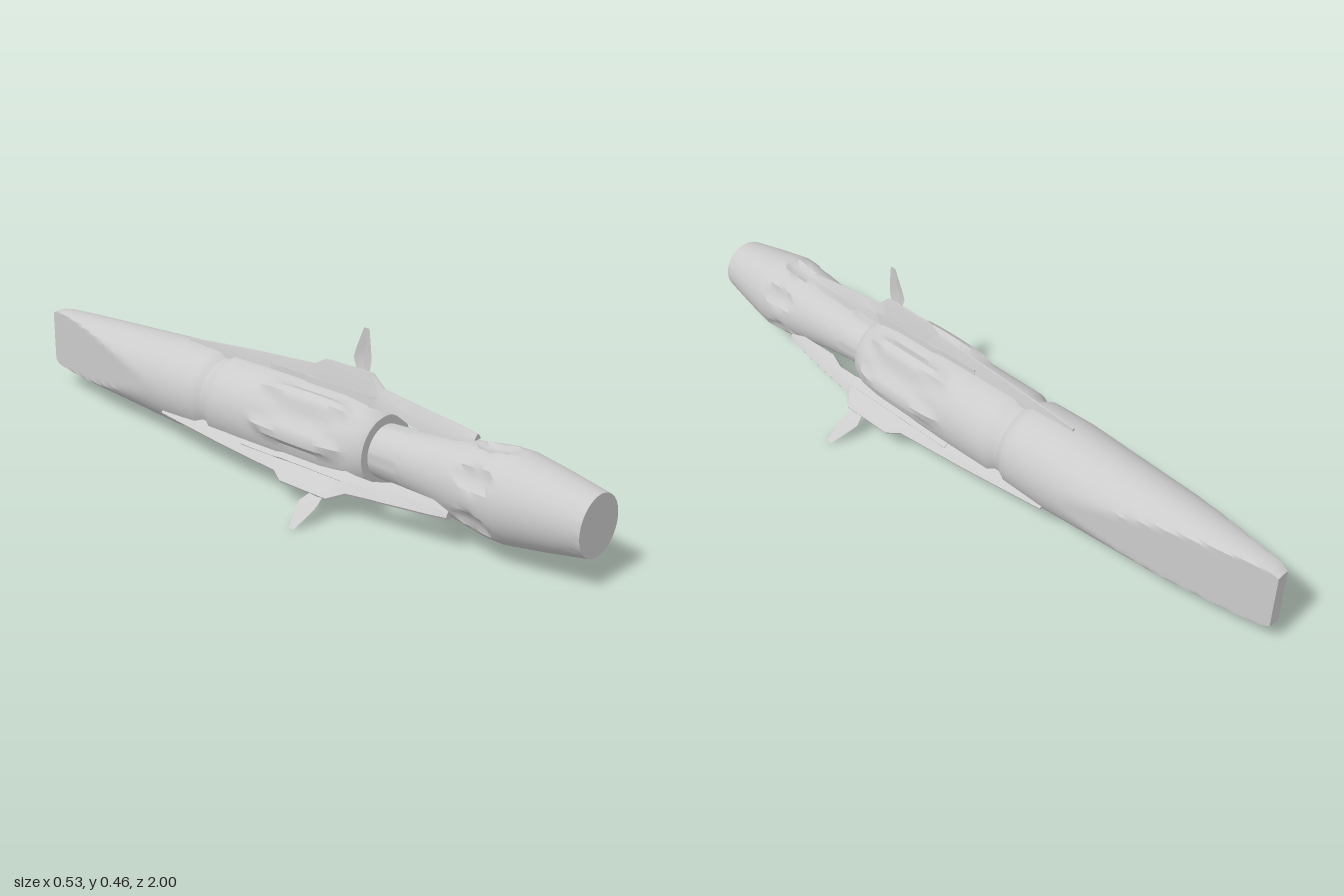
import * as THREE from 'three';
import { toCreasedNormals } from 'three/addons/utils/BufferGeometryUtils.js';

const AXIS_Y = 0.155;
const SIDES = 48;
const rad = THREE.MathUtils.degToRad;

// Skin a list of rings (counter-clockwise seen from +z, ordered front to back) and cap both ends.
function loft(rings, crease) {
  const centre = (ring) => {
    const c = new THREE.Vector3();
    ring.forEach((p) => c.addScaledVector(p, 1 / ring.length));
    return ring.map(() => c);
  };
  const all = [centre(rings[0]), ...rings, centre(rings[rings.length - 1])];
  const n = rings[0].length, pos = [], index = [];
  all.forEach((ring) => ring.forEach((p) => pos.push(p.x, p.y, p.z)));
  for (let i = 0; i < all.length - 1; i++) {
    for (let j = 0; j < n; j++) {
      const k = (j + 1) % n;
      const a = i * n + j, b = i * n + k, c = a + n, d = b + n;
      if (i > 0) index.push(a, c, b);
      if (i < all.length - 2) index.push(b, c, d);
      if (i === 0) index.push(a, c, d);
    }
  }
  const g = new THREE.BufferGeometry();
  g.setAttribute('position', new THREE.Float32BufferAttribute(pos, 3));
  g.setIndex(index);
  return toCreasedNormals(g, crease);
}

// Split a [z, radius] profile into short steps.
function refine(profile, step) {
  const out = [profile[0]];
  for (let i = 1; i < profile.length; i++) {
    const [z0, r0] = profile[i - 1], [z1, r1] = profile[i];
    const n = Math.max(1, Math.ceil(Math.abs(z1 - z0) / step));
    for (let k = 1; k <= n; k++) out.push([z0 + ((z1 - z0) * k) / n, r0 + ((r1 - r0) * k) / n]);
  }
  return out;
}

// Round body whose radius is changed by offset(z, angle) and whose sides are cut at halfWidth(z).
function roundBody(profile, offset = () => 0, halfWidth = () => 1) {
  const rings = refine(profile, 0.02).map(([z, r]) => {
    const w = halfWidth(z);
    return Array.from({ length: SIDES }, (_, j) => {
      const a = (j / SIDES) * Math.PI * 2;
      const q = r + offset(z, a);
      return new THREE.Vector3(THREE.MathUtils.clamp(q * Math.cos(a), -w, w), q * Math.sin(a), z);
    });
  });
  return loft(rings, rad(32));
}

// Smooth oval hill, 1 at its middle and 0 outside, placed at several angles.
function ovals(angles, zMid, front, back, spread) {
  return (z, a) => {
    const dz = (z - zMid) / (z > zMid ? front : back);
    let h = 0;
    for (const deg of angles) {
      const d = a - rad(deg);
      const da = Math.atan2(Math.sin(d), Math.cos(d)) / rad(spread);
      h = Math.max(h, 1 - dz * dz - da * da);
    }
    return Math.sqrt(h) * Math.min(1, h * 3);
  };
}

// Linear lookup in a table of [z, value] with falling z.
function lookup(table, z) {
  for (let i = 1; i < table.length; i++) {
    const [z0, v0] = table[i - 1], [z1, v1] = table[i];
    if (z >= z1) return THREE.MathUtils.lerp(v0, v1, THREE.MathUtils.clamp((z0 - z) / (z0 - z1), 0, 1));
  }
  return table[table.length - 1][1];
}

// Six-sided fin section: thin top edge, widest at the shoulder, blunt underside.
function finSection([z, bottom, top, w]) {
  const mid = bottom + (top - bottom) * 0.45, t = 0.003;
  return [[w * 0.75, mid], [t, top], [-t, top], [-w * 0.75, mid], [-w, bottom], [w, bottom]]
    .map(([x, y]) => new THREE.Vector3(x, y, z));
}

export function createModel() {
  const root = new THREE.Group();
  const model = new THREE.Group();
  model.name = 'hull';
  model.position.y = AXIS_Y;
  root.add(model);
  const grey = new THREE.MeshStandardMaterial({ color: 0xcccccc });
  const add = (name, geometry, parent = model) => {
    const mesh = new THREE.Mesh(geometry, grey);
    mesh.name = name;
    parent.add(mesh);
    return mesh;
  };

  // Front head with a ring of dimples, narrowing into the neck
  const dimple = ovals([30, 90, 150, 210, 270, 330], 0.72, 0.06, 0.06, 17);
  add('head', roundBody(
    [[1, 0.077], [0.9, 0.096], [0.79, 0.114], [0.74, 0.113], [0.65, 0.1], [0.55, 0.084], [0.45, 0.074], [0.36, 0.07]],
    (z, a) => -0.014 * dimple(z, a)));

  // Main body with a pair of long blisters between neighbouring fins
  const blister = ovals([6, 54, 126, 174, 246, 294], 0.2, 0.14, 0.21, 13);
  add('body', roundBody(
    [[0.38, 0.094], [0.37, 0.102], [0.33, 0.117], [0.26, 0.124], [0, 0.126], [-0.165, 0.124], [-0.185, 0.112], [-0.21, 0.112]],
    (z, a) => 0.018 * blister(z, a)));

  // Tail: a round taper cut flat on both sides into an upright blade
  const tailWidth = [[-0.34, 0.13], [-0.42, 0.122], [-0.5, 0.113], [-0.6, 0.098], [-0.7, 0.079], [-0.8, 0.058], [-0.9, 0.037], [-1, 0.018]];
  add('tail', roundBody(
    [[-0.2, 0.112], [-0.225, 0.124], [-0.35, 0.126], [-0.5, 0.118], [-0.7, 0.108], [-0.95, 0.094], [-0.98, 0.089], [-1, 0.08]],
    () => 0, (z) => lookup(tailWidth, z)));

  // Three fins around the axis: [z, bottom, top, half width]
  const finStations = [
    [0.66, 0.108, 0.122, 0.012], [0.61, 0.096, 0.13, 0.019], [0.48, 0.094, 0.146, 0.021],
    [0.43, 0.112, 0.152, 0.021], [0.37, 0.112, 0.16, 0.021], [0.33, 0.11, 0.194, 0.021],
    [0.17, 0.11, 0.194, 0.02], [0.13, 0.11, 0.172, 0.018], [-0.1, 0.11, 0.156, 0.015], [-0.36, 0.11, 0.133, 0.006],
  ];
  const finGeometry = loft(finStations.map(finSection), rad(15));
  // Foot rail under each fin
  const railGeometry = loft([[0.365, 0.018], [0.34, 0.023], [0.13, 0.023], [0.1, 0.017], [-0.02, 0.016]].map(([z, w]) =>
    [[w, 0.11], [w * 0.8, 0.14], [-w * 0.8, 0.14], [-w, 0.11]].map(([x, y]) => new THREE.Vector3(x, y, z))), rad(15));
  // Small lozenge-section vane: [radius, front z, back z, half thickness]
  const vaneGeometry = loft([
    [0.192, 0.318, 0.275, 0.003], [0.222, 0.324, 0.264, 0.007], [0.25, 0.322, 0.274, 0.006], [0.305, 0.315, 0.297, 0.0015],
  ].map(([r, zf, zb, t]) => {
    const zm = (zf + zb) / 2;
    return [[t, zm], [0, zf], [-t, zm], [0, zb]].map(([x, z]) => new THREE.Vector3(x, r, z));
  }).reverse(), rad(15));

  for (let i = 0; i < 3; i++) {
    const fin = new THREE.Group();
    fin.name = ['topFin', 'rightFin', 'leftFin'][i];
    fin.rotation.z = (i * Math.PI * 2) / 3;
    add('finBlade', finGeometry, fin);
    add('footRail', railGeometry, fin);
    add('vane', vaneGeometry, fin);
    model.add(fin);
  }
  return root;
}
